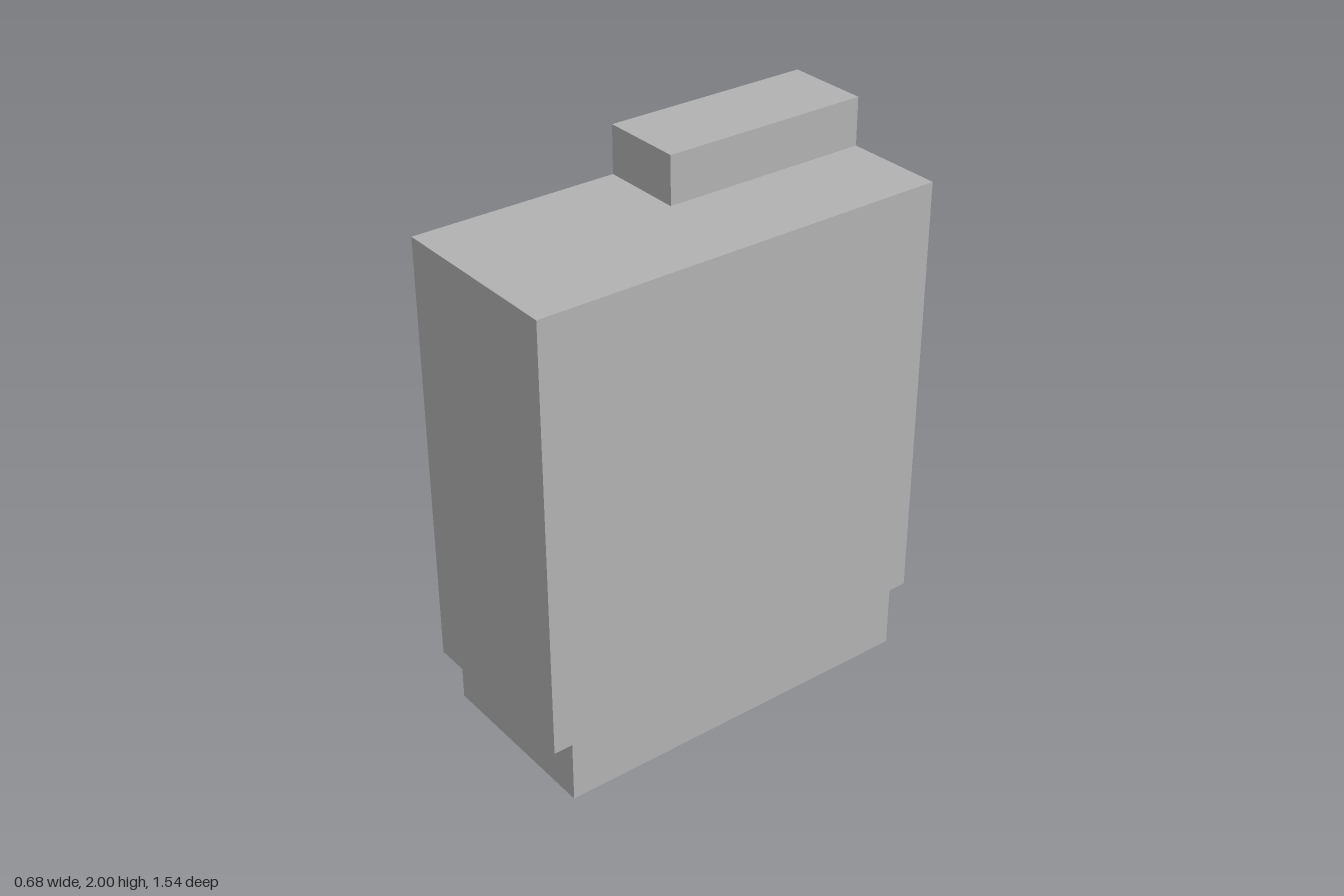
import * as THREE from 'three';

// Main dimensions
const X = 0.34, Z = 0.772, BASE_Z = 0.702;
const LEDGE = 0.23, ROOF = 1.826, TOP = 2;
const BOX_X = -0.03, BOX_Z = 0.01;

export function createModel() {
  const grey = new THREE.MeshStandardMaterial({ color: 0xb2b2b2, side: THREE.DoubleSide });
  grey.name = 'concreteGrey';
  const model = new THREE.Group();
  model.name = 'towerBlock';

  // A flat panel drawn in its own plane, then turned and moved into place
  function panel(name, points, rotation, position) {
    const shape = new THREE.Shape(points.map(([u, v]) => new THREE.Vector2(u, v)));
    const mesh = new THREE.Mesh(new THREE.ShapeGeometry(shape), grey);
    mesh.name = name;
    mesh.rotation.set(...rotation);
    mesh.position.set(...position);
    model.add(mesh);
  }
  const rect = (u0, v0, u1, v1) => [[u0, v0], [u1, v0], [u1, v1], [u0, v1]];
  const H = Math.PI / 2;
  const front = [0, 0, 0], back = [0, Math.PI, 0], left = [0, H, 0], right = [0, -H, 0];
  const up = [-H, 0, 0], down = [H, 0, 0];

  // Side walls: one plain, one rising flush into the roof box
  const lower = [[-Z, LEDGE], [-BASE_Z, LEDGE], [-BASE_Z, 0], [BASE_Z, 0], [BASE_Z, LEDGE], [Z, LEDGE], [Z, ROOF]];
  panel('leftWall', [...lower, [-Z, ROOF]], left, [X, 0, 0]);
  panel('rightWall', [...lower, [BOX_Z, ROOF], [BOX_Z, TOP], [-Z, TOP]], right, [-X, 0, 0]);

  // Front wall, and back wall that also rises into the roof box
  panel('frontWall', rect(-X, LEDGE, X, ROOF), front, [0, 0, Z]);
  panel('backWall', [[-X, LEDGE], [X, LEDGE], [X, TOP], [-BOX_X, TOP], [-BOX_X, ROOF], [-X, ROOF]],
    back, [0, 0, -Z]);

  // Recessed base, open underneath, with the overhang above it
  panel('baseFront', rect(-X, 0, X, LEDGE), front, [0, 0, BASE_Z]);
  panel('baseBack', rect(-X, 0, X, LEDGE), back, [0, 0, -BASE_Z]);
  panel('overhangFront', rect(-X, BASE_Z, X, Z), down, [0, LEDGE, 0]);
  panel('overhangBack', rect(-X, -Z, X, -BASE_Z), down, [0, LEDGE, 0]);

  // L-shaped roof around the roof box
  panel('roof', [[-X, -Z], [X, -Z], [X, Z], [BOX_X, Z], [BOX_X, -BOX_Z], [-X, -BOX_Z]], up, [0, ROOF, 0]);

  // Roof box
  panel('roofBoxTop', rect(-X, -BOX_Z, BOX_X, Z), up, [0, TOP, 0]);
  panel('roofBoxFront', rect(-X, ROOF, BOX_X, TOP), front, [0, 0, BOX_Z]);
  panel('roofBoxSide', rect(-BOX_Z, ROOF, Z, TOP), left, [BOX_X, 0, 0]);

  return model;
}
